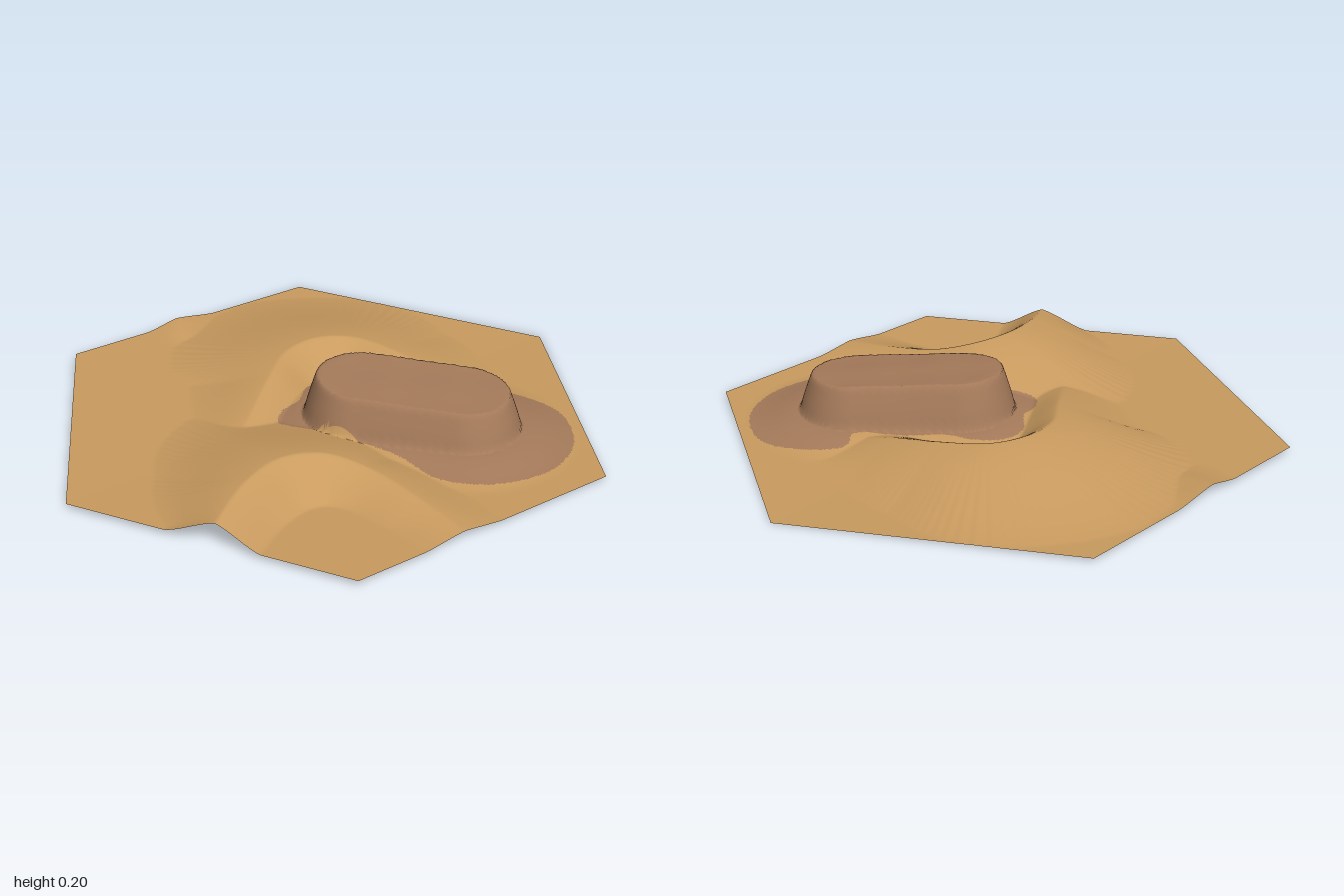
import * as THREE from 'three';

const smooth = (a, b, v) => THREE.MathUtils.smoothstep(v, a, b);

// Dune: crest points [x, z, height, windward length]; the lee side lies to the right of the path
function makeDune(points, leeWidth) {
  const curve = new THREE.CatmullRomCurve3(points.map(([x, z, h]) => new THREE.Vector3(x, h, z)));
  const n = points.length - 1, steps = 90;
  const samples = curve.getPoints(steps).map((p, i) => {
    const f = (i / steps) * n, k = Math.min(Math.floor(f), n - 1);
    return { p, len: THREE.MathUtils.lerp(points[k][3], points[k + 1][3], f - k) };
  });
  return (x, z) => {
    let best = Infinity, bi = 0, bt = 0;
    for (let i = 0; i < steps; i++) {
      const a = samples[i].p, b = samples[i + 1].p;
      const dx = b.x - a.x, dz = b.z - a.z;
      const t = THREE.MathUtils.clamp(((x - a.x) * dx + (z - a.z) * dz) / (dx * dx + dz * dz), 0, 1);
      const d = Math.hypot(x - a.x - dx * t, z - a.z - dz * t);
      if (d < best) { best = d; bi = i; bt = t; }
    }
    const a = samples[bi], b = samples[bi + 1];
    const side = (b.p.x - a.p.x) * (z - a.p.z) - (b.p.z - a.p.z) * (x - a.p.x);
    const height = Math.max(0, THREE.MathUtils.lerp(a.p.y, b.p.y, bt));
    const u = Math.min(1, best / (side > 0 ? leeWidth : THREE.MathUtils.lerp(a.len, b.len, bt)));
    // Mostly straight slopes with a soft foot
    return height * (0.6 * (1 - u) + 0.4 * (1 - smooth(0, 1, u)));
  };
}

const dunes = [
  // Large crescent behind the mesa
  makeDune([
    [0.05, 0.42, 0, 0.12], [-0.06, 0.27, 0.045, 0.2], [-0.19, 0.1, 0.085, 0.3],
    [-0.29, -0.04, 0.1, 0.48], [-0.31, -0.18, 0.105, 0.55], [-0.25, -0.3, 0.1, 0.5],
    [-0.1, -0.38, 0.085, 0.36], [0.08, -0.42, 0.055, 0.28], [0.28, -0.46, 0, 0.2],
  ], 0.15),
  // Front crescent cut by the tile edge
  makeDune([
    [0.54, 0.86, 0.05, 0.15], [0.45, 0.72, 0.075, 0.18], [0.36, 0.56, 0.105, 0.36],
    [0.32, 0.4, 0.117, 0.55], [0.36, 0.26, 0.105, 0.42], [0.47, 0.17, 0.075, 0.24],
    [0.66, 0.12, 0.045, 0.18], [0.92, 0.09, 0.012, 0.15],
  ], 0.15),
  // Small ridge running off the far side
  makeDune([
    [-1.0, 0.04, 0.03, 0.2], [-0.87, 0.07, 0.024, 0.15], [-0.8, 0.09, 0.016, 0.12], [-0.7, 0.11, 0, 0.1],
  ], 0.12),
];

// Distance from the mesa's centre line
const A = [0.12, -0.07], B = [0.38, -0.3];
function mesaDistance(x, z) {
  const dx = B[0] - A[0], dz = B[1] - A[1];
  const t = THREE.MathUtils.clamp(((x - A[0]) * dx + (z - A[1]) * dz) / (dx * dx + dz * dz), 0, 1);
  return Math.hypot(x - A[0] - dx * t, z - A[1] - dz * t);
}

function heightAt(x, z) {
  const base = 0.011 + 0.009 * z + 0.007 * Math.abs(x);
  const sand = base + Math.max(...dunes.map((dune) => dune(x, z)));
  const d = mesaDistance(x, z);
  const talus = base + 0.035 * (1 - smooth(0.18, 0.4, d));
  const ground = Math.max(sand, talus);
  const top = 0.197 - 0.052 * Math.max(0, x) + 0.0015 * Math.sin(x * 23) * Math.sin(z * 19);
  // Near-straight cliff with a slightly rounded rim
  const wall = THREE.MathUtils.clamp((0.198 - d) / 0.043, 0, 1);
  return THREE.MathUtils.lerp(Math.min(ground, top), top, Math.pow(wall, 0.85));
}

// Outline of the exposed rock: mesa and its apron
const apron = new THREE.CatmullRomCurve3([
  [0.2, -0.52], [0.3, -0.62], [0.46, -0.665], [0.62, -0.59], [0.7, -0.49], [0.74, -0.36],
  [0.7, -0.17], [0.58, -0.04], [0.4, 0.0], [0.25, 0.07], [0.1, 0.15], [0.0, 0.19],
  [-0.06, 0.13], [-0.08, 0.05], [-0.15, -0.03], [-0.15, -0.13], [-0.08, -0.21],
  [0.0, -0.25], [0.1, -0.35], [0.23, -0.45],
].map(([x, z]) => new THREE.Vector3(x, 0, z)), true).getPoints(100);

function isRock(x, z) {
  if (mesaDistance(x, z) < 0.19) return true;
  let inside = false;
  for (let i = 0, j = apron.length - 1; i < apron.length; j = i++) {
    const a = apron[i], b = apron[j];
    if ((a.z > z) !== (b.z > z) && x < ((b.x - a.x) * (z - a.z)) / (b.z - a.z) + a.x) inside = !inside;
  }
  return inside;
}

export function createModel() {
  const group = new THREE.Group();
  group.name = 'desertTile';
  const sand = new THREE.MeshStandardMaterial({ name: 'sand', color: 0xc99b5f, side: THREE.DoubleSide });
  const rock = new THREE.MeshStandardMaterial({ name: 'rock', color: 0xa57a5a, side: THREE.DoubleSide });

  // Hexagonal lattice of height samples
  const N = 120, positions = [], ids = new Map();
  const key = (q, r) => q * 1000 + r;
  for (let q = -N; q <= N; q++) {
    for (let r = Math.max(-N, -N - q); r <= Math.min(N, N - q); r++) {
      const x = (q / N) * Math.sqrt(0.75), z = (r + q / 2) / N;
      ids.set(key(q, r), positions.length / 3);
      positions.push(x, Math.max(0, heightAt(x, z)), z);
    }
  }

  // Sort the triangles into sand and rock
  const sandFaces = [], rockFaces = [];
  const addFace = (...corners) => {
    const f = corners.map(([q, r]) => ids.get(key(q, r)));
    if (f.includes(undefined)) return;
    const mid = (axis) => f.reduce((s, i) => s + positions[i * 3 + axis], 0) / 3;
    (isRock(mid(0), mid(2)) ? rockFaces : sandFaces).push(...f);
  };
  for (let q = -N - 1; q <= N; q++) {
    for (let r = -N - 1; r <= N; r++) {
      addFace([q, r], [q, r + 1], [q + 1, r]);
      addFace([q + 1, r], [q, r + 1], [q + 1, r + 1]);
    }
  }

  const geometry = new THREE.BufferGeometry();
  geometry.setAttribute('position', new THREE.Float32BufferAttribute(positions, 3));
  geometry.setIndex(sandFaces.concat(rockFaces));
  geometry.addGroup(0, sandFaces.length, 0);
  geometry.addGroup(sandFaces.length, rockFaces.length, 1);
  geometry.computeVertexNormals();
  const terrain = new THREE.Mesh(geometry, [sand, rock]);
  terrain.name = 'dunesAndMesa';
  group.add(terrain);
  return group;
}
